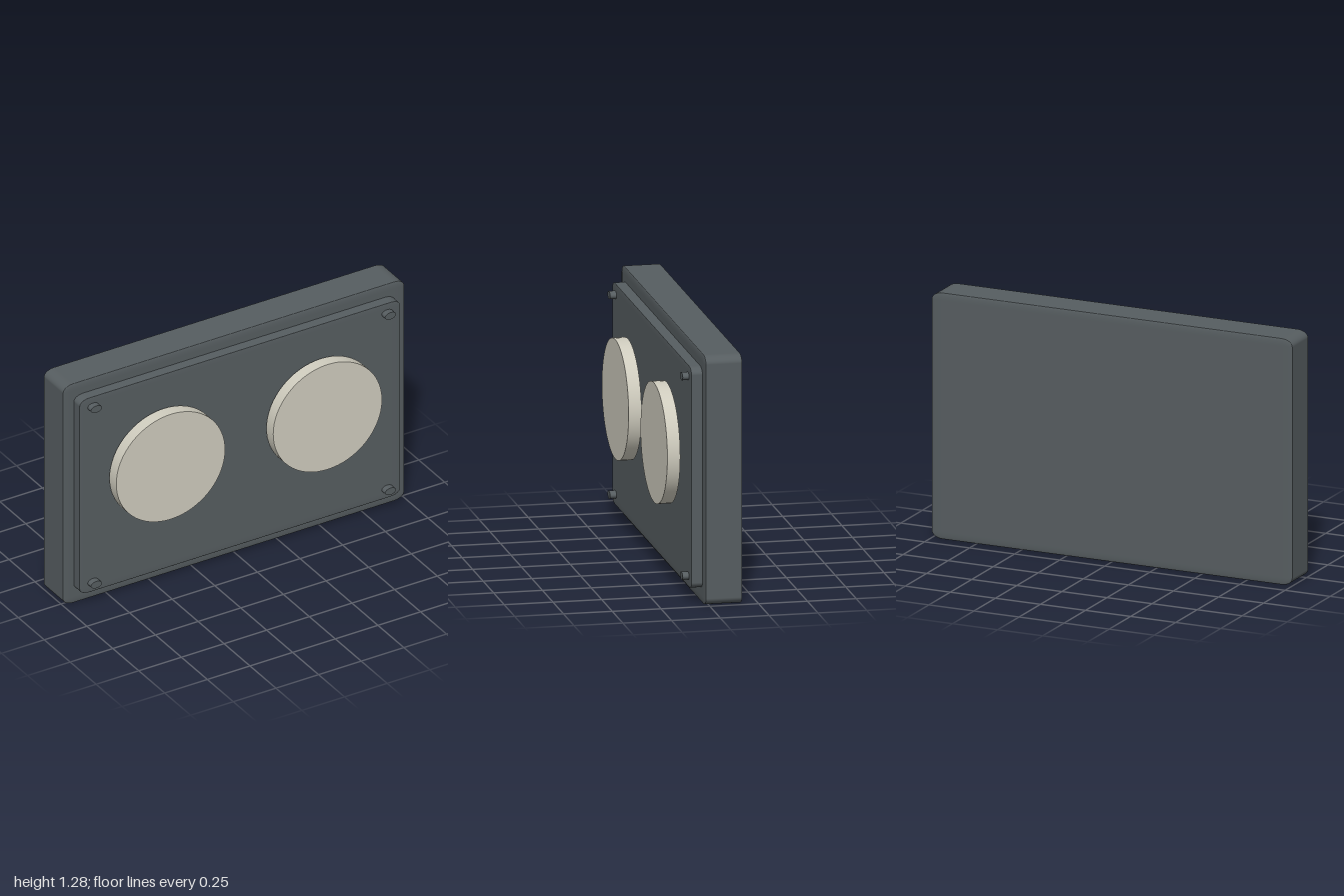
import * as THREE from 'three';
import { RoundedBoxGeometry } from 'three/addons/geometries/RoundedBoxGeometry.js';

export function createModel() {
  const model = new THREE.Group();
  model.name = 'wallPanel';

  const slate = new THREE.MeshStandardMaterial({ color: 0x565d60 });
  slate.name = 'slate grey';
  const ivory = new THREE.MeshStandardMaterial({ color: 0xcfccbe });
  ivory.name = 'warm ivory';

  const add = (name, geometry, material, x, y, z) => {
    const mesh = new THREE.Mesh(geometry, material);
    mesh.name = name;
    mesh.position.set(x, y, z);
    model.add(mesh);
  };

  // Unit rounded block stretched to size, so the rounding follows each axis
  const block = (w, h, d) => new RoundedBoxGeometry(1, 1, 1, 5, 0.03).scale(w, h, d);

  // Elliptical disc facing +z
  const disc = (rx, ry, depth, sides) =>
    new THREE.CylinderGeometry(1, 1, depth, sides).rotateX(Math.PI / 2).scale(rx, ry, 1);

  // Housing and raised front plate
  add('housing', block(2, 1.285, 0.195), slate, 0, 0.6425, -0.0725);
  add('frontPlate', block(1.88, 1.14, 0.08), slate, 0, 0.645, 0.043);

  for (const [side, s] of [['left', 1], ['right', -1]]) {
    // Round dial, standing just clear of the plate
    add(`${side}Dial`, disc(0.319, 0.308, 0.066, 64), ivory, s * 0.46, 0.723, 0.137);
    // Corner screws
    for (const [level, y] of [['Upper', 1.16], ['Lower', 0.13]]) {
      add(`${side}${level}Screw`, disc(0.032, 0.02, 0.045, 24), slate, s * 0.862, y, 0.0935);
    }
  }

  return model;
}
